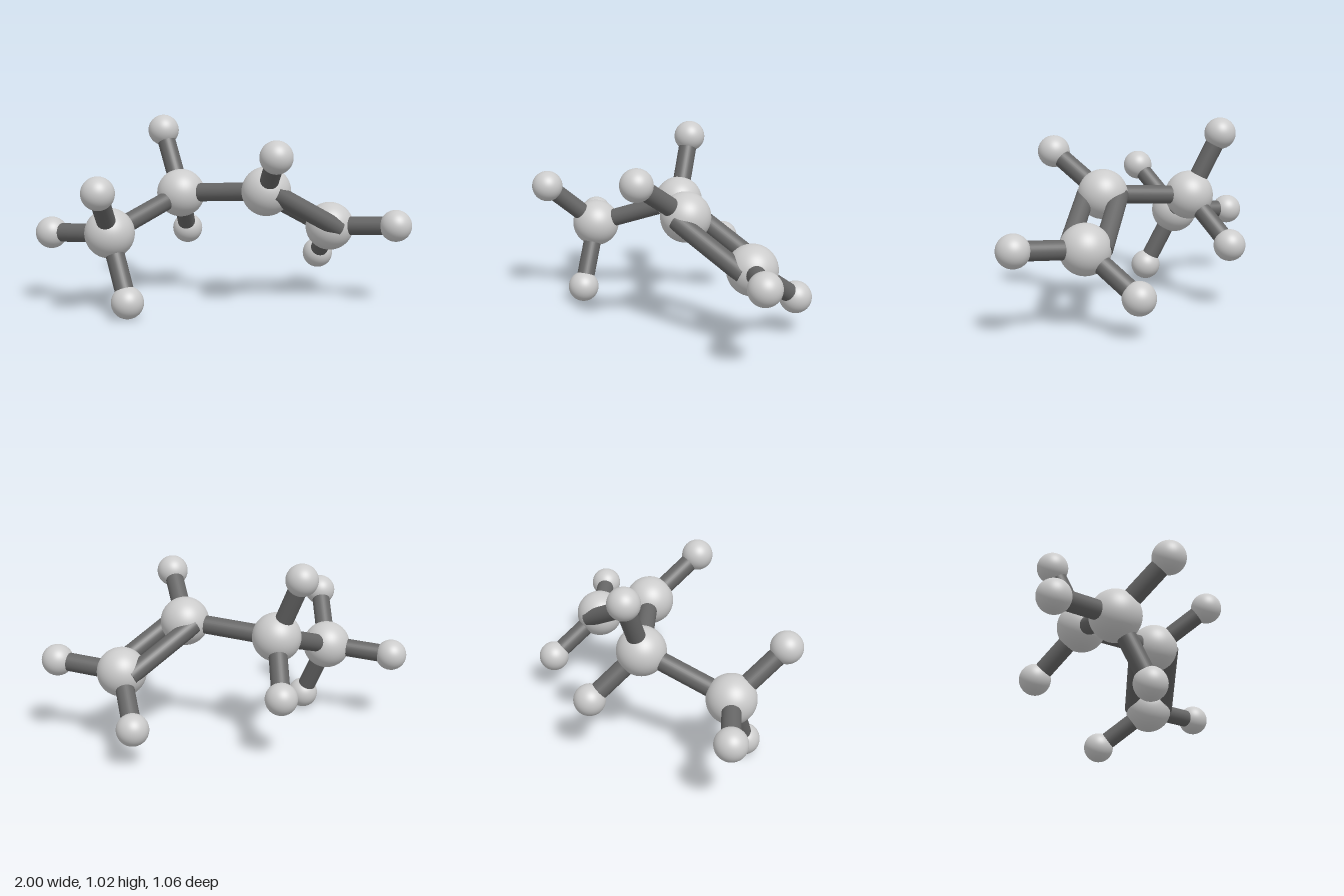
import * as THREE from 'three';

const LARGE = 0.1325, SMALL = 0.0857, BOND = 0.05, SPREAD = 0.09;

// Chain atoms, and the small atoms attached to each
const chain = [
  { at: [-0.61, 0.427, 0.12], small: [[-0.914, 0.402, -0.097], [-0.676, 0.676, 0.403], [-0.53, 0.087, 0.273]] },
  { at: [-0.2, 0.595, -0.168], small: [[-0.28, 0.935, -0.316], [-0.131, 0.349, -0.443]] },
  { at: [0.224, 0.635, 0.138], small: [[0.213, 0.846, 0.447]] },
  { at: [0.605, 0.419, 0.022], small: [[0.914, 0.447, 0.238], [0.617, 0.209, -0.286]] },
];

export function createModel() {
  const model = new THREE.Group();
  model.name = 'moleculeModel';
  const atomMaterial = new THREE.MeshStandardMaterial({ color: 0xcccccc });
  const bondMaterial = new THREE.MeshStandardMaterial({ color: 0x666666 });
  const sphere = new THREE.SphereGeometry(1, 48, 32);
  const up = new THREE.Vector3(0, 1, 0);

  const addAtom = (name, p, radius) => {
    const atom = new THREE.Mesh(sphere, atomMaterial);
    atom.name = name;
    atom.position.copy(p);
    atom.scale.setScalar(radius);
    model.add(atom);
  };

  // Round rod between two points
  const addBond = (name, a, b) => {
    const dir = b.clone().sub(a);
    const bond = new THREE.Mesh(new THREE.CylinderGeometry(BOND, BOND, dir.length(), 32), bondMaterial);
    bond.name = name;
    bond.position.copy(a).add(b).multiplyScalar(0.5);
    bond.quaternion.setFromUnitVectors(up, dir.normalize());
    model.add(bond);
  };

  const centres = chain.map(({ at }) => new THREE.Vector3(...at));

  // Atoms and the rods to their small neighbours
  chain.forEach(({ small }, i) => {
    addAtom(`largeAtom${i + 1}`, centres[i], LARGE);
    small.forEach((s, j) => {
      const p = new THREE.Vector3(...s);
      addAtom(`smallAtom${i + 1}_${j + 1}`, p, SMALL);
      addBond(`sideBond${i + 1}_${j + 1}`, centres[i], p);
    });
  });

  // Single bonds along the chain
  for (let i = 0; i < 2; i++) addBond(`chainBond${i + 1}`, centres[i], centres[i + 1]);

  // Double bond: two parallel rods, offset sideways
  const [a, b] = [centres[2], centres[3]];
  const side = b.clone().sub(a).cross(up).normalize();
  for (const s of [-SPREAD, SPREAD]) {
    addBond(s < 0 ? 'doubleBondBack' : 'doubleBondFront',
      a.clone().addScaledVector(side, s), b.clone().addScaledVector(side, s));
  }
  return model;
}
